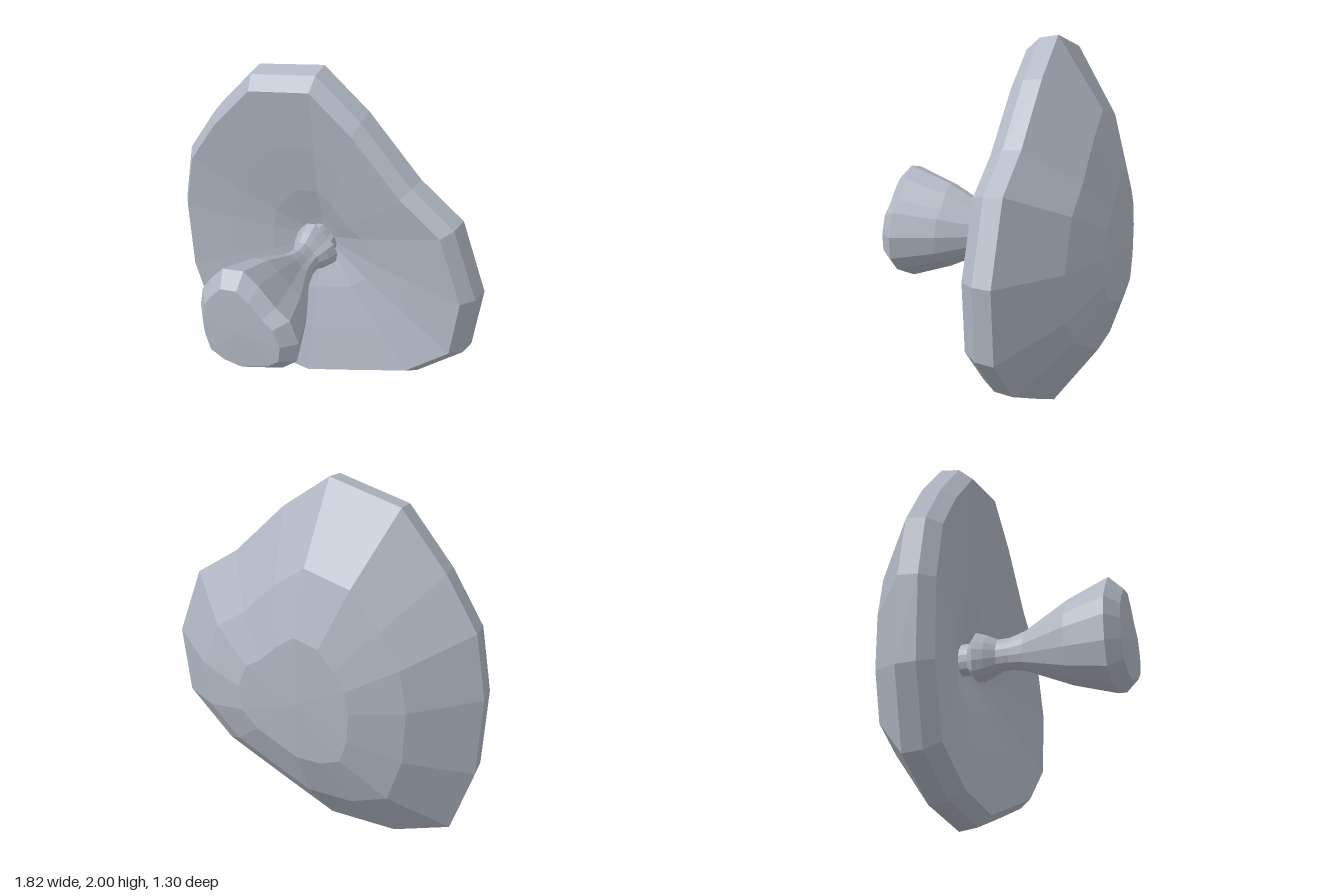
import * as THREE from 'three';

// Wavy, lopsided outline shared by cap and stem, clockwise from the top
const OUTLINE = [
  [-0.06, 2.0], [0.2, 1.8], [0.5, 1.49], [0.75, 1.31],
  [0.905, 0.91], [0.87, 0.53], [0.61, 0.28], [0.28, 0.14],
  [-0.06, 0.0], [-0.45, 0.03], [-0.77, 0.18], [-0.89, 0.57],
  [-0.91, 1.02], [-0.85, 1.37], [-0.68, 1.64], [-0.44, 1.92],
];
const CX = -0.06, CY = 0.93;

// Sweeps the outline through [scale, z] rings along the z axis
function loft(profile) {
  const n = OUTLINE.length, pos = [], index = [];
  for (const [s, z] of profile)
    for (const [x, y] of OUTLINE) pos.push(CX + (x - CX) * s, CY + (y - CY) * s, z);
  for (let i = 0; i < profile.length - 1; i++)
    for (let j = 0; j < n; j++) {
      const k = (j + 1) % n;
      const a = i * n + j, b = i * n + k, c = a + n, d = b + n;
      if (profile[i][0] > 0) index.push(a, b, c);
      if (profile[i + 1][0] > 0) index.push(b, d, c);
    }
  const geo = new THREE.BufferGeometry();
  geo.setAttribute('position', new THREE.Float32BufferAttribute(pos, 3));
  geo.setIndex(index);
  geo.computeVertexNormals();
  return geo;
}

export function createModel() {
  const group = new THREE.Group();
  group.name = 'mushroom';
  const paleGrey = new THREE.MeshStandardMaterial({ color: 0xb0b7c3, flatShading: true });
  paleGrey.name = 'paleGrey';

  // Cap: hollow underside, bevelled rim, domed back
  const cap = new THREE.Mesh(loft([
    [0, -0.3], [0.13, -0.27], [0.33, -0.21], [0.6, -0.16], [0.925, -0.107],
    [0.985, -0.18], [1, -0.28],
    [0.65, -0.525], [0.35, -0.633], [0, -0.648],
  ]), paleGrey);
  cap.name = 'cap';

  // Stem: blunt foot, tapering to a neck that flares inside the cap
  const stem = new THREE.Mesh(loft([
    [0, 0.648], [0.245, 0.638], [0.315, 0.565], [0.235, 0.335],
    [0.112, 0.085], [0.09, 0.0], [0.09, -0.07], [0.12, -0.13], [0.14, -0.19],
    [0.09, -0.23], [0.09, -0.32], [0, -0.32],
  ]), paleGrey);
  stem.name = 'stem';

  group.add(cap, stem);
  return group;
}
